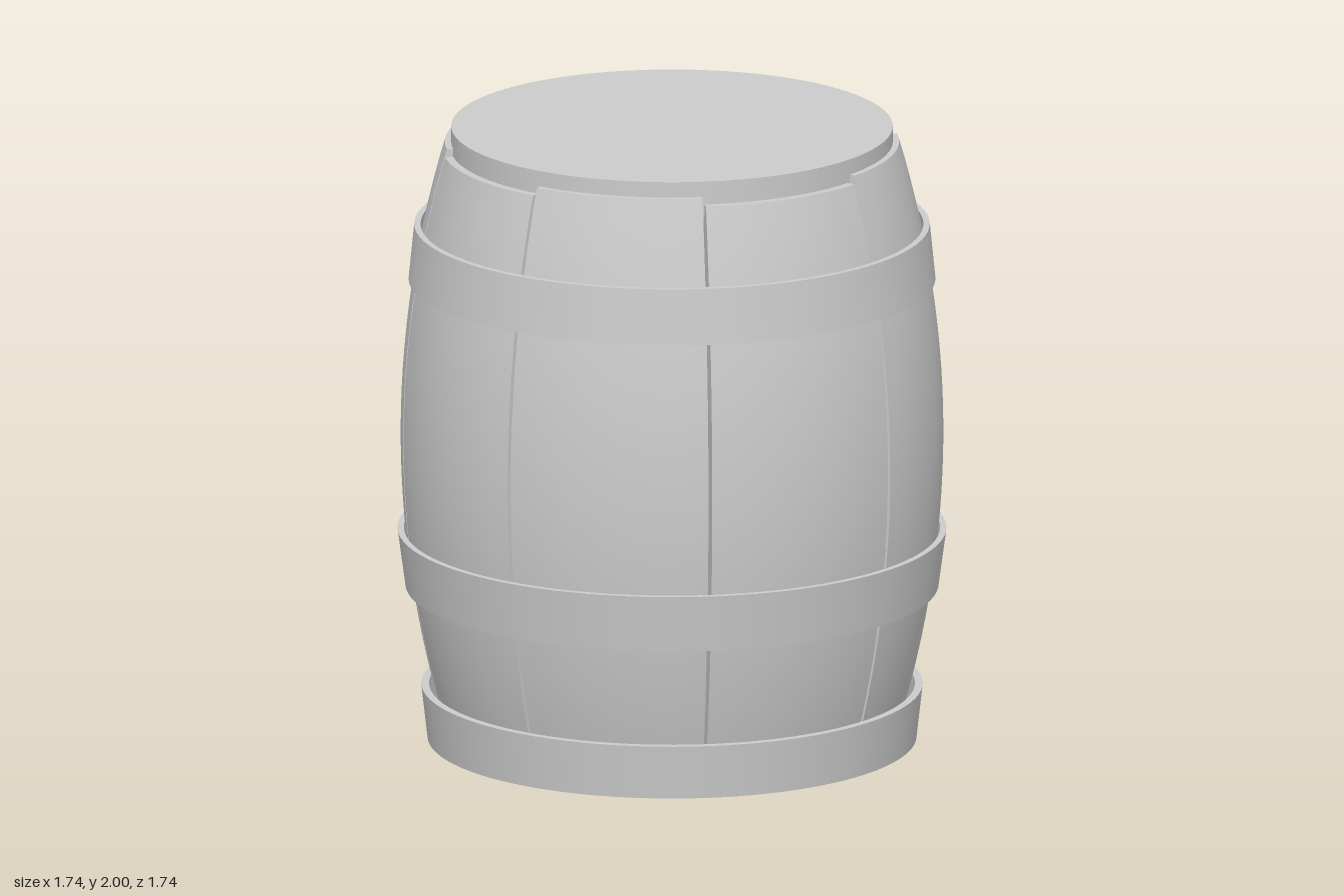
import * as THREE from 'three';

const material = new THREE.MeshStandardMaterial({ color: 0xcccccc });
const STAVES = 8;
const THICK = 0.11;
const BOTTOM = 0.06;

// Bulging outer radius of the barrel at height y
const radiusAt = (y) => 0.86 - 0.14 * ((y - 1) / 0.95) ** 2;

function addMesh(parent, name, geometry) {
  const mesh = new THREE.Mesh(geometry, material);
  mesh.name = name;
  parent.add(mesh);
  return mesh;
}

// A box bent round the axis: x becomes angle, y height, z depth.
// The outer face is a little narrower, which leaves a V groove between staves.
function staveGeometry(index, top) {
  const geometry = new THREE.BoxGeometry(1, 1, 1, 12, 28, 1);
  const pos = geometry.attributes.position;
  const arc = (Math.PI * 2) / STAVES;
  for (let i = 0; i < pos.count; i++) {
    const outer = pos.getZ(i) > 0;
    const angle = index * arc + arc / 2 + pos.getX(i) * (arc - (outer ? 0.014 : 0));
    const y = BOTTOM + (pos.getY(i) + 0.5) * (top - BOTTOM);
    const r = radiusAt(y) - (outer ? 0 : THICK);
    pos.setXYZ(i, r * Math.sin(angle), y, r * Math.cos(angle));
  }
  geometry.computeVertexNormals();
  return geometry;
}

// A flat metal band with slanted sides
function hoopGeometry(y0, y1, r0, r1, thickness) {
  const corners = [[r0 - thickness, y0], [r0, y0], [r1, y1], [r1 - thickness, y1]];
  const profile = [];
  // Each corner is doubled so that the edges stay sharp
  corners.forEach((c, i) => {
    const next = corners[(i + 1) % corners.length];
    profile.push([c, next]);
  });
  return profile.map(([a, b]) =>
    new THREE.LatheGeometry([new THREE.Vector2(...a), new THREE.Vector2(...b)], 96));
}

export function createModel() {
  const barrel = new THREE.Group();
  barrel.name = 'barrel';

  // Staves, with alternating lengths
  const staves = new THREE.Group();
  staves.name = 'staves';
  barrel.add(staves);
  for (let i = 0; i < STAVES; i++) {
    addMesh(staves, `stave${i + 1}`, staveGeometry(i, i % 2 ? 1.925 : 1.95));
  }

  // Hoops: lower y, upper y, lower radius, upper radius, thickness
  const hoops = {
    bottomHoop: [0, 0.175, 0.775, 0.795, 0.025],
    middleHoop: [0.5, 0.685, 0.845, 0.87, 0.02],
    topHoop: [1.5, 1.68, 0.835, 0.817, 0.02],
  };
  for (const [name, dims] of Object.entries(hoops)) {
    const hoop = new THREE.Group();
    hoop.name = name;
    hoopGeometry(...dims).forEach((g, i) =>
      addMesh(hoop, ['underside', 'outerFace', 'upperEdge', 'innerFace'][i], g));
    barrel.add(hoop);
  }

  // Lid closing the top
  const lid = addMesh(barrel, 'lid', new THREE.CylinderGeometry(0.7, 0.7, 0.12, 96));
  lid.position.y = 1.94;

  return barrel;
}
